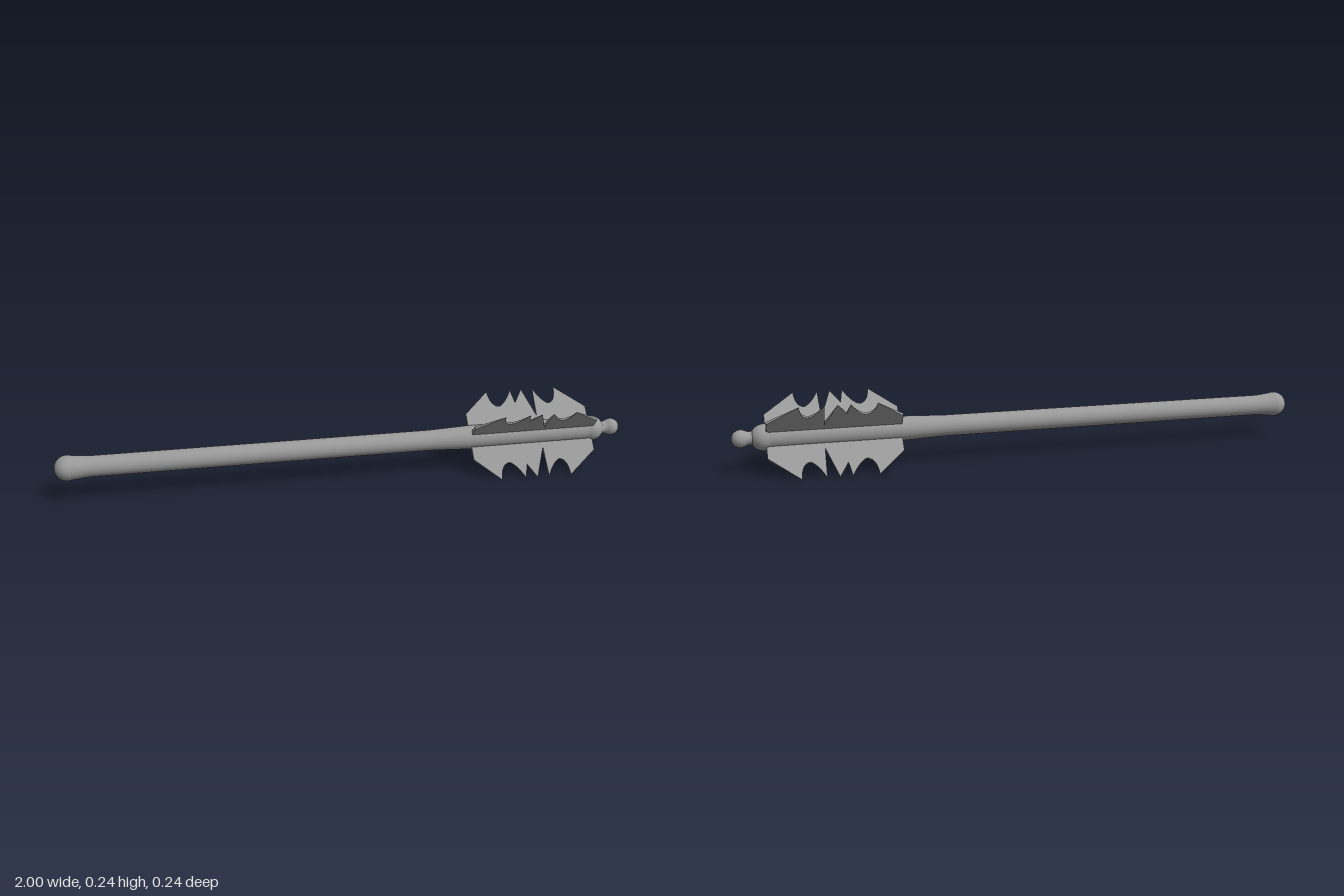
import * as THREE from 'three';

const AXIS_Y = 0.12;   // height of the shaft's centre line
const TIP = 0.17;      // radius of the flange tips
const GREY = 0x999999;

const material = new THREE.MeshStandardMaterial({ color: GREY });
const flatMaterial = new THREE.MeshStandardMaterial({ color: GREY, flatShading: true });

// Turn a list of [x, radius] pairs around the x axis
function turned(name, points) {
  const profile = points.map(([x, r]) => new THREE.Vector2(r, x));
  const geometry = new THREE.LatheGeometry(profile, 32);
  geometry.rotateZ(-Math.PI / 2);
  const mesh = new THREE.Mesh(geometry, material);
  mesh.name = name;
  return mesh;
}

// Profile points along a circular arc centred on the axis, angles from -x
function arc(cx, r, from, to, steps = 10) {
  return Array.from({ length: steps + 1 }, (_, i) => {
    const a = from + (to - from) * i / steps;
    return [cx - r * Math.cos(a), Math.max(0, r * Math.sin(a))];
  });
}

// Spiked blade whose thickness tapers to nothing at the tips
function flangeGeometry() {
  const s = new THREE.Shape();
  s.moveTo(0.442, 0.02);
  s.lineTo(0.442, 0.087);
  s.lineTo(0.534, TIP);
  s.quadraticCurveTo(0.538, 0.108, 0.572, 0.108);
  s.quadraticCurveTo(0.598, 0.122, 0.622, TIP);
  s.lineTo(0.632, 0.118);
  s.lineTo(0.664, TIP);
  s.lineTo(0.702, 0.06);
  s.lineTo(0.706, TIP);
  s.quadraticCurveTo(0.728, 0.122, 0.753, 0.108);
  s.quadraticCurveTo(0.784, 0.108, 0.787, TIP);
  s.lineTo(0.89, 0.085);
  s.lineTo(0.89, 0.02);
  s.closePath();
  const geometry = new THREE.ExtrudeGeometry(s, { depth: 1, bevelEnabled: false, curveSegments: 6 });
  const p = geometry.attributes.position;
  for (let i = 0; i < p.count; i++) {
    const half = 0.0098 * (1 - p.getY(i) / TIP) + 0.0002;
    p.setZ(i, p.getZ(i) > 0.5 ? half : -half);
  }
  geometry.computeVertexNormals();
  return geometry;
}

export function createModel() {
  const model = new THREE.Group();
  model.name = 'flangedMace';

  const body = new THREE.Group();
  body.name = 'body';
  body.position.y = AXIS_Y;
  model.add(body);

  // Handle with rounded pommel, widening into the head's core
  body.add(turned('handle', [
    ...arc(-0.956, 0.044, 0, Math.PI * 0.6, 14),
    [-0.92, 0.0395], [-0.9, 0.0372], [-0.88, 0.036],
    [0.29, 0.036], [0.33, 0.0375], [0.44, 0.042], [0.89, 0.042],
  ]));

  // Rounded cap and finial ball
  body.add(turned('headCap', arc(0.895, 0.045, 0, Math.PI, 16)));
  body.add(turned('finialNeck', [[0.92, 0.03], [0.935, 0.023], [0.945, 0.022], [0.955, 0.026]]));
  body.add(turned('finialBall', arc(0.97, 0.03, 0, Math.PI, 16)));

  // Four flanges set diagonally around the head
  const geometry = flangeGeometry();
  for (let i = 0; i < 4; i++) {
    const flange = new THREE.Mesh(geometry, flatMaterial);
    flange.name = 'flange' + (i + 1);
    flange.rotation.x = Math.PI / 4 + i * Math.PI / 2;
    body.add(flange);
  }
  return model;
}
